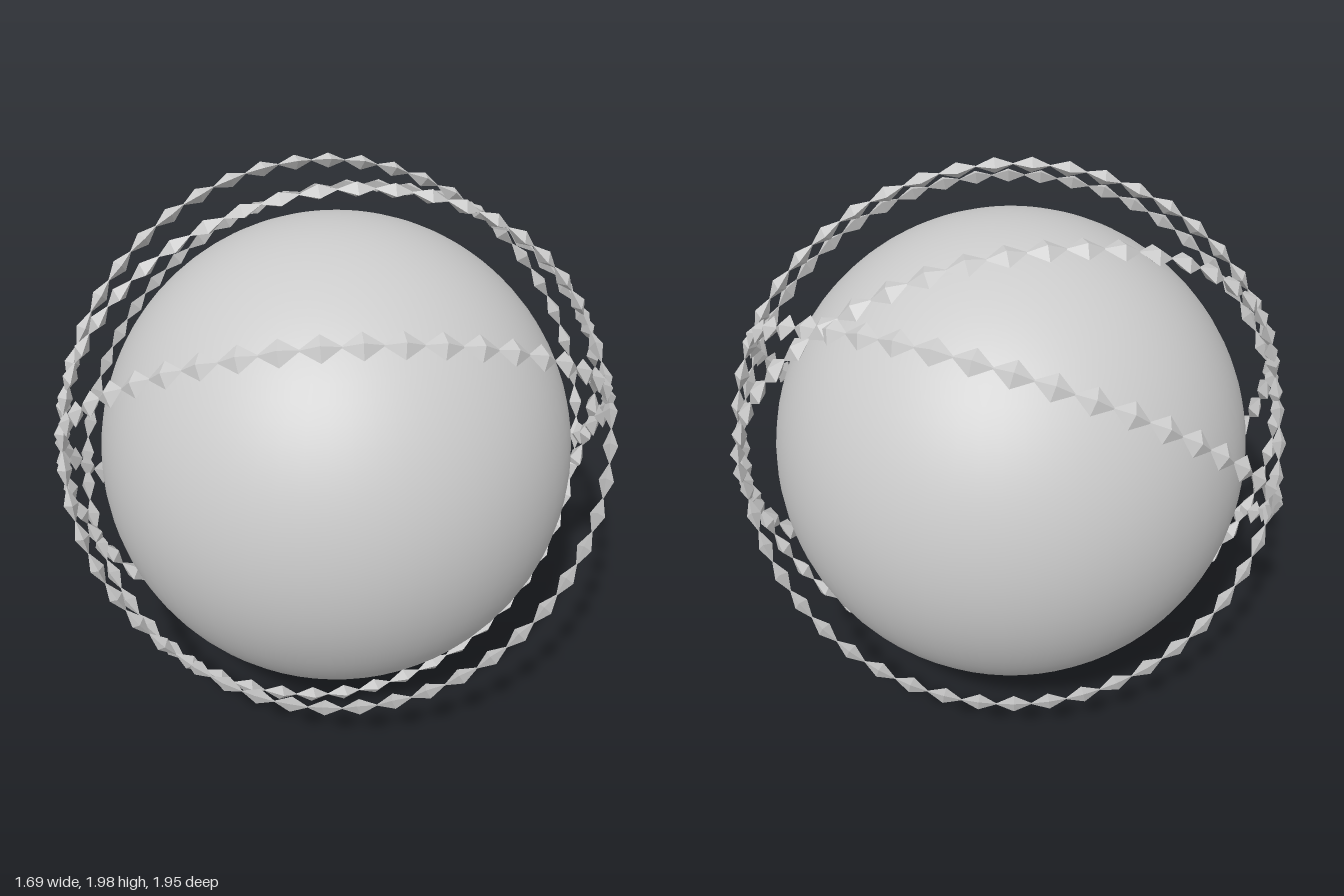
import * as THREE from 'three';

const RING_RADIUS = 0.97;
const BEADS = 50;

// Ring of elongated octahedral beads lying in the local XY plane
function beadRing(name, normal, material) {
  const ring = new THREE.Group();
  ring.name = name;
  const bead = new THREE.OctahedronGeometry(1, 0);
  bead.scale(0.026, 0.066, 0.045); // radial, along the ring, across the ring
  for (let i = 0; i < BEADS; i++) {
    const a = (i / BEADS) * Math.PI * 2;
    const mesh = new THREE.Mesh(bead, material);
    mesh.name = 'bead';
    mesh.position.set(RING_RADIUS * Math.cos(a), RING_RADIUS * Math.sin(a), 0);
    mesh.rotation.z = a;
    ring.add(mesh);
  }
  ring.quaternion.setFromUnitVectors(
    new THREE.Vector3(0, 0, 1), new THREE.Vector3(...normal).normalize());
  ring.position.y = 1;
  return ring;
}

export function createModel() {
  const group = new THREE.Group();
  group.name = 'ringedSphere';

  // Smooth central ball
  const ball = new THREE.Mesh(
    new THREE.SphereGeometry(0.84, 64, 40),
    new THREE.MeshStandardMaterial({ color: 0xcccccc }));
  ball.name = 'ball';
  ball.position.y = 0.953;
  group.add(ball);

  // Four tilted bead rings around the ball, given by their plane normals
  const beadMaterial = new THREE.MeshStandardMaterial({ color: 0xcccccc, flatShading: true });
  const normals = [
    [0.549, 0.686, -0.478],
    [0.70, 0.11, -0.706],
    [0.528, -0.408, -0.743],
    [0.685, -0.70, -0.203],
  ];
  normals.forEach((n, i) => group.add(beadRing(`beadRing${i + 1}`, n, beadMaterial)));

  return group;
}
